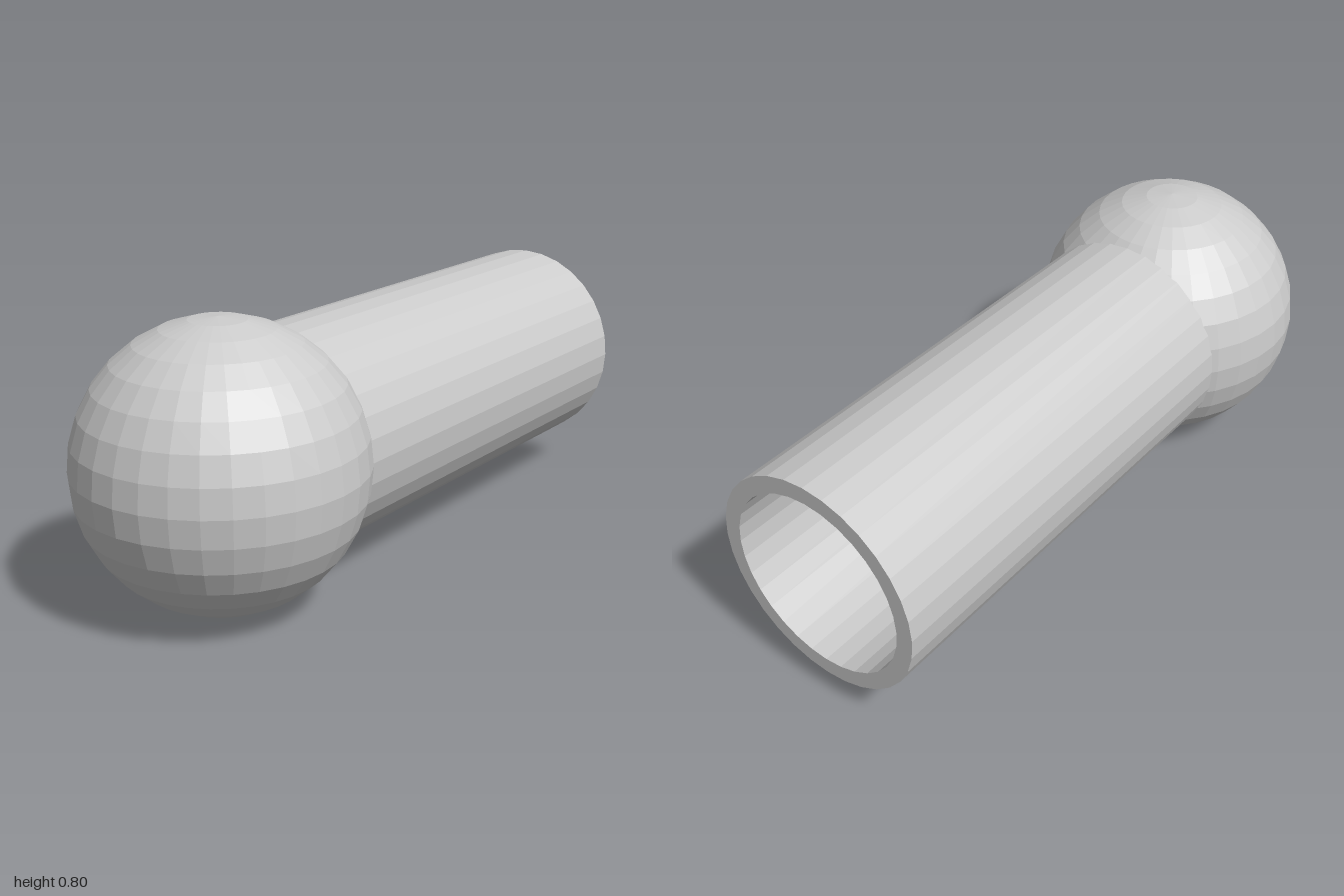
import * as THREE from 'three';

const SIDES = 32;
const AXIS_Y = 0.4;

export function createModel() {
  const group = new THREE.Group();
  const material = new THREE.MeshStandardMaterial({ color: 0xcccccc, flatShading: true });

  // Faceted ball at the front end
  const ball = new THREE.Mesh(new THREE.SphereGeometry(0.4, SIDES, SIDES / 2), material);
  ball.name = 'ball';
  ball.position.set(0, AXIS_Y, 0.6);
  group.add(ball);

  // Hollow tube, open at the back, its front end sunk into the ball
  const outer = 0.32, inner = 0.27, back = -1, front = 0.5;
  const profile = [
    [inner, back], [outer, back], [outer, front], [inner, front], [inner, back],
  ].map(([r, h]) => new THREE.Vector2(r, h));
  const tube = new THREE.Mesh(new THREE.LatheGeometry(profile, SIDES), material);
  tube.name = 'tube';
  tube.rotation.x = Math.PI / 2; // lay the axis along z
  tube.position.y = AXIS_Y;
  group.add(tube);

  return group;
}
